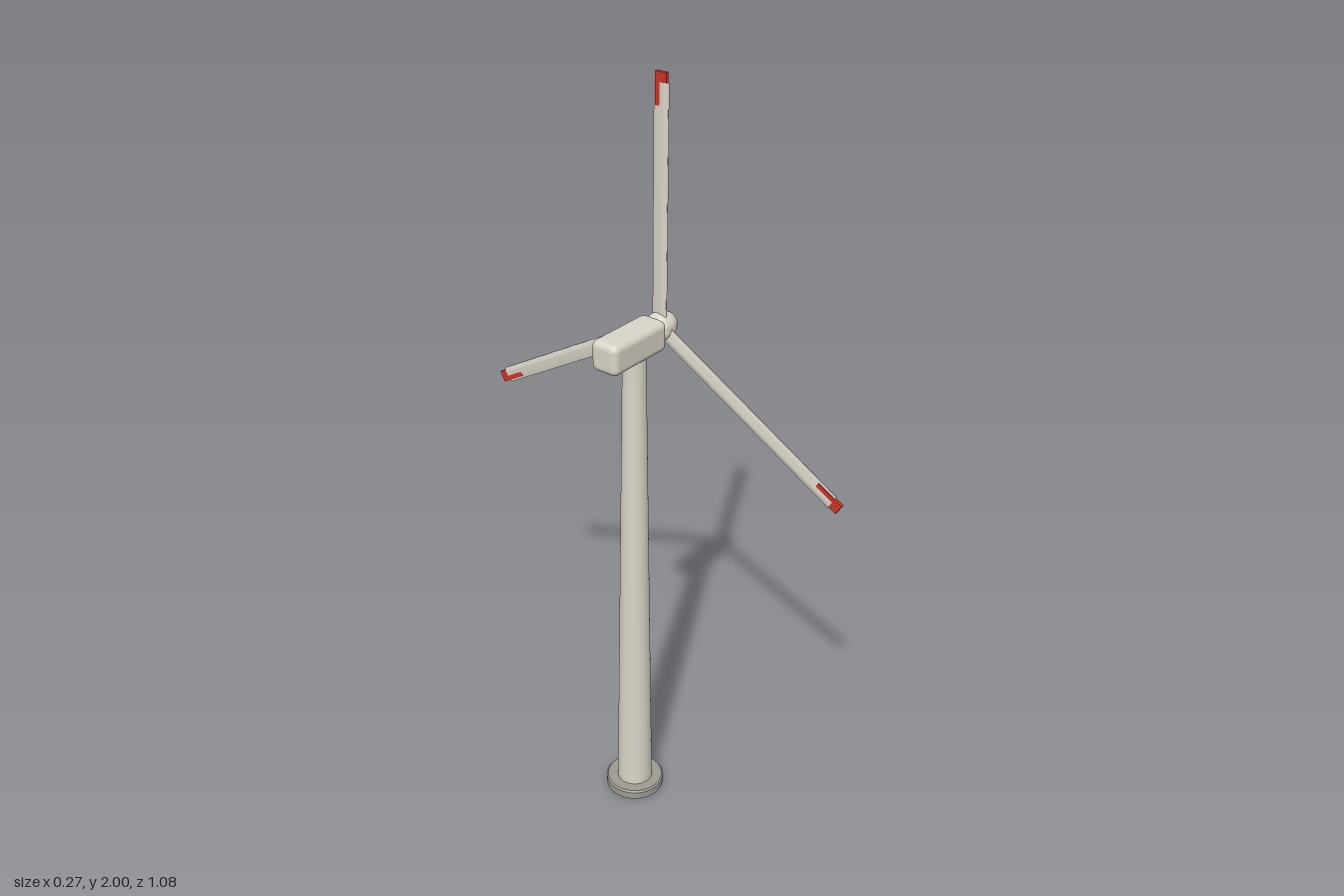
import * as THREE from 'three';
import { RoundedBoxGeometry } from 'three/addons/geometries/RoundedBoxGeometry.js';
import { toCreasedNormals } from 'three/addons/utils/BufferGeometryUtils.js';

const paint = (name, color) => {
  const m = new THREE.MeshStandardMaterial({ color });
  m.name = name;
  return m;
};

export function createModel() {
  const white = paint('warm white', 0xd9d4c8);
  const concrete = paint('concrete grey', 0x9c9a92);
  const red = paint('tip red', 0xcc3328);
  const doorGrey = paint('door blue grey', 0x66707f);

  const model = new THREE.Group();
  model.name = 'windTurbine';
  const add = (parent, name, geometry, material, x = 0, y = 0, z = 0) => {
    const mesh = new THREE.Mesh(geometry, material);
    mesh.name = name;
    mesh.position.set(x, y, z);
    parent.add(mesh);
    return mesh;
  };
  const lathe = (points, segments) =>
    toCreasedNormals(new THREE.LatheGeometry(points.map(p => new THREE.Vector2(...p)), segments), 0.6);

  const towerX = -0.018, hubX = 0.079, hubY = 1.383;

  // Foundation disc with a small bevel, and the tapered tower
  add(model, 'foundation',
    lathe([[0, 0], [0.079, 0], [0.079, 0.021], [0.075, 0.026], [0, 0.026]], 40), concrete, towerX);
  add(model, 'tower', new THREE.CylinderGeometry(0.029, 0.048, 1.325, 32), white, towerX, 0.6875);

  // Door, leaning with the tower wall
  const door = add(model, 'door', new THREE.BoxGeometry(0.008, 0.072, 0.028), doorGrey, 0.0255, 0.063);
  door.rotation.z = Math.atan(0.019 / 1.325);

  // Nacelle
  add(model, 'nacelle', new RoundedBoxGeometry(0.197, 0.08, 0.078, 4, 0.018), white, -0.0365, 1.377);

  // Rotor: its axis runs along x
  const rotor = new THREE.Group();
  rotor.name = 'rotor';
  rotor.position.set(hubX, hubY, 0);
  model.add(rotor);

  // Hub: short rounded back and a longer nose
  const profile = [];
  for (let i = 0; i <= 18; i++) {
    const a = -Math.PI / 2 + (Math.PI * i) / 18;
    profile.push([Math.max(0, 0.037 * Math.cos(a)), Math.sin(a) * (a < 0 ? 0.026 : 0.052)]);
  }
  const hub = add(rotor, 'hub', lathe(profile, 32), white);
  hub.rotation.z = -Math.PI / 2;

  // Blade section: rounded leading edge at +z, thin trailing edge at -z
  const section = new THREE.Shape();
  section.moveTo(0, 0.021);
  section.bezierCurveTo(0.0065, 0.021, 0.0075, 0.006, 0.001, -0.021);
  section.lineTo(-0.001, -0.021);
  section.bezierCurveTo(-0.0075, 0.006, -0.0065, 0.021, 0, 0.021);
  const extruded = new THREE.ExtrudeGeometry(section, { depth: 0.579, bevelEnabled: false, curveSegments: 10 });
  extruded.rotateX(-Math.PI / 2);
  extruded.rotateY(Math.PI);
  const bladeGeometry = toCreasedNormals(extruded, 0.7);
  const tipGeometry = new THREE.BoxGeometry(0.009, 0.077, 0.03);

  for (let i = 0; i < 3; i++) {
    const blade = new THREE.Group();
    blade.name = 'blade' + (i + 1);
    blade.rotation.x = (i * Math.PI * 2) / 3;
    add(blade, 'bladeBody', bladeGeometry, white, 0, 0.015);
    add(blade, 'bladeTip', tipGeometry, red, 0, 0.5785);
    rotor.add(blade);
  }
  return model;
}
